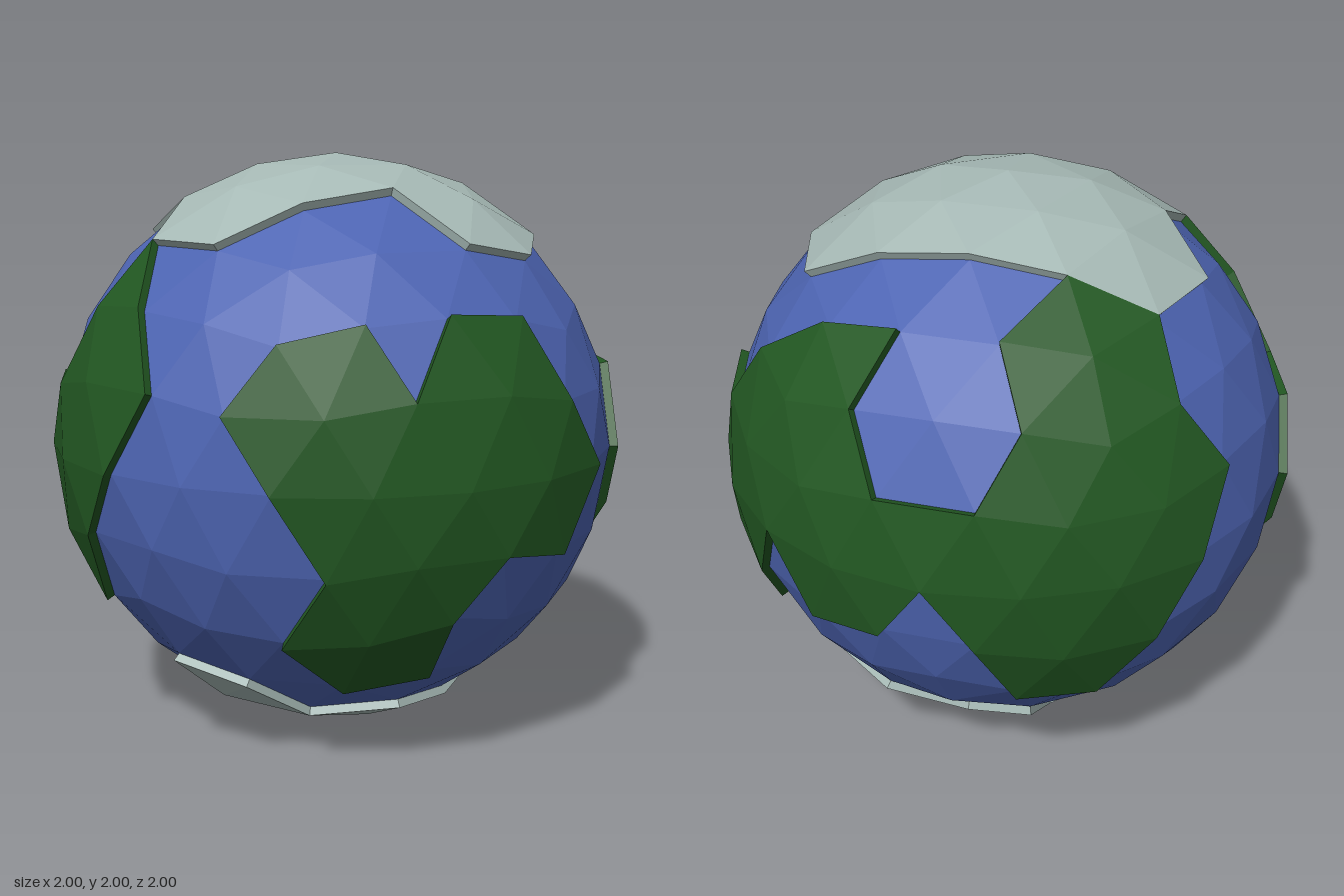
import * as THREE from 'three';

const SEA = 0.97, LAND = 1; // radii of the water and of the raised plates
const rad = THREE.MathUtils.degToRad;

// Direction from azimuth (degrees, +x towards +z) and height on the unit sphere
function dir(azimuth, y) {
  const r = Math.sqrt(Math.max(0, 1 - y * y)), a = rad(azimuth);
  return new THREE.Vector3(r * Math.cos(a), y, r * Math.sin(a));
}

// Coastlines as [azimuth, height], counter-clockwise seen from outside
const northIce = [
  [265.6, 0.72], [238.4, 0.72], [216, 0.85], [193.6, 0.72], [166.4, 0.72], [144, 0.85], [108, 0.89],
  [94.4, 0.72], [72, 0.67], [49.6, 0.72], [22.4, 0.72], [0, 0.85], [-36, 0.89], [-72, 0.85],
];
const southIce = [
  [13.6, -0.72], [36, -0.85], [72, -0.89], [108, -0.85], [144, -0.89], [157.6, -0.72], [180, -0.67],
  [180, -0.85], [216, -0.89], [252, -0.85], [288, -0.89], [301.6, -0.72], [324, -0.85], [346.4, -0.72],
];
const frontContinent = [
  [72, 0], [81.5, 0.23], [89.5, 0.51], [108, 0.53], [117.7, 0.28], [126.5, 0.51], [144, 0.45],
  [153.5, 0.23], [144, 0], [134.3, -0.28], [144, -0.53], [130.4, -0.72], [108, -0.67], [108, -0.45],
  [98.5, -0.23], [81.7, -0.28],
];
const largeContinent = [
  [54, 0], [45.5, -0.23], [36, -0.45], [18.5, -0.51], [9.7, -0.28], [0, 0], [-9.7, -0.28],
  [-26.5, -0.23], [-36, 0], [-45.5, -0.23], [-53.5, -0.51], [-72, -0.53], [-81.7, -0.28], [-90, 0],
  [-98.3, 0.28], [-89.5, 0.51], [-94.4, 0.72], [-72, 0.85], [-49.6, 0.72], [-54.5, 0.51],
  [-45.7, 0.28], [-26.3, 0.28], [-17.5, 0.51], [-22.4, 0.72], [0, 0.67], [17.5, 0.51],
  [26.3, 0.28], [45.7, 0.28],
];
const sideContinent = [
  [193.6, 0.72], [198.5, 0.51], [206.5, 0.23], [225.5, 0.23], [234, 0], [225.7, -0.28],
  [216, -0.53], [197.5, -0.51], [189.5, -0.23], [180, 0], [170.3, 0.28], [180, 0.53],
];

// Icosahedron standing on a corner, each face split in four twice
function icosphere() {
  const points = [dir(0, 1), dir(0, -1)], h = Math.sqrt(0.2);
  for (let k = 0; k < 5; k++) points.push(dir(72 * k, h));
  for (let k = 0; k < 5; k++) points.push(dir(36 + 72 * k, -h));
  let faces = [];
  for (let k = 0; k < 5; k++) {
    const n = (k + 1) % 5, p = (k + 4) % 5;
    faces.push([0, 2 + n, 2 + k], [2 + k, 2 + n, 7 + k], [2 + k, 7 + k, 7 + p], [7 + k, 7 + n, 1]);
  }
  for (let level = 0; level < 2; level++) {
    const mids = new Map();
    const mid = (a, b) => {
      const key = Math.min(a, b) + '_' + Math.max(a, b);
      if (!mids.has(key)) mids.set(key, points.push(points[a].clone().add(points[b]).normalize()) - 1);
      return mids.get(key);
    };
    faces = faces.flatMap(([a, b, c]) => {
      const ab = mid(a, b), bc = mid(b, c), ca = mid(c, a);
      return [[a, ab, ca], [ab, b, bc], [ca, bc, c], [ab, bc, ca]];
    });
  }
  return { points, faces };
}

// Winding test on the sphere
function inside(center, outline) {
  const flat = outline.map((p) => p.clone().projectOnPlane(center));
  let turn = 0;
  flat.forEach((u, i) => {
    const v = flat[(i + 1) % flat.length];
    turn += Math.atan2(u.clone().cross(v).dot(center), u.dot(v));
  });
  return turn > Math.PI;
}

// Faceted mesh from triangle corners
function faceted(name, corners, material) {
  const geometry = new THREE.BufferGeometry().setFromPoints(corners);
  geometry.computeVertexNormals();
  const mesh = new THREE.Mesh(geometry, material);
  mesh.name = name;
  return mesh;
}

export function createModel() {
  const makeMaterial = (name, color) => {
    const m = new THREE.MeshStandardMaterial({ color });
    m.name = name;
    return m;
  };
  const water = makeMaterial('ocean blue', 0x4d64b2);
  const grass = makeMaterial('land green', 0x225722);
  const ice = makeMaterial('ice grey', 0xa6b9b5);

  const globe = new THREE.Group();
  globe.name = 'globe';
  globe.position.y = 1;

  const { points, faces } = icosphere();
  const at = (i, radius) => points[i].clone().multiplyScalar(radius);
  let open = faces;

  // Raised plates: outer facets plus a wall along the coast
  const plates = [
    ['northIceCap', northIce, ice], ['southIceCap', southIce, ice],
    ['frontContinent', frontContinent, grass], ['largeContinent', largeContinent, grass],
    ['sideContinent', sideContinent, grass],
  ];
  for (const [name, coast, material] of plates) {
    const outline = coast.map(([a, y]) => dir(a, y));
    const center = ([a, b, c]) => points[a].clone().add(points[b]).add(points[c]).normalize();
    const region = open.filter((f) => inside(center(f), outline));
    open = open.filter((f) => !region.includes(f));

    const edges = region.flatMap(([a, b, c]) => [[a, b], [b, c], [c, a]]);
    const keys = new Set(edges.map(([a, b]) => a + '_' + b));
    const corners = region.flat().map((i) => at(i, LAND));
    for (const [a, b] of edges) {
      if (keys.has(b + '_' + a)) continue;
      corners.push(at(a, SEA), at(b, SEA), at(b, LAND), at(a, SEA), at(b, LAND), at(a, LAND));
    }
    globe.add(faceted(name, corners, material));
  }

  // Water fills the facets left over
  globe.add(faceted('ocean', open.flat().map((i) => at(i, SEA)), water));

  const model = new THREE.Group();
  model.name = 'lowPolyPlanet';
  model.add(globe);
  return model;
}
